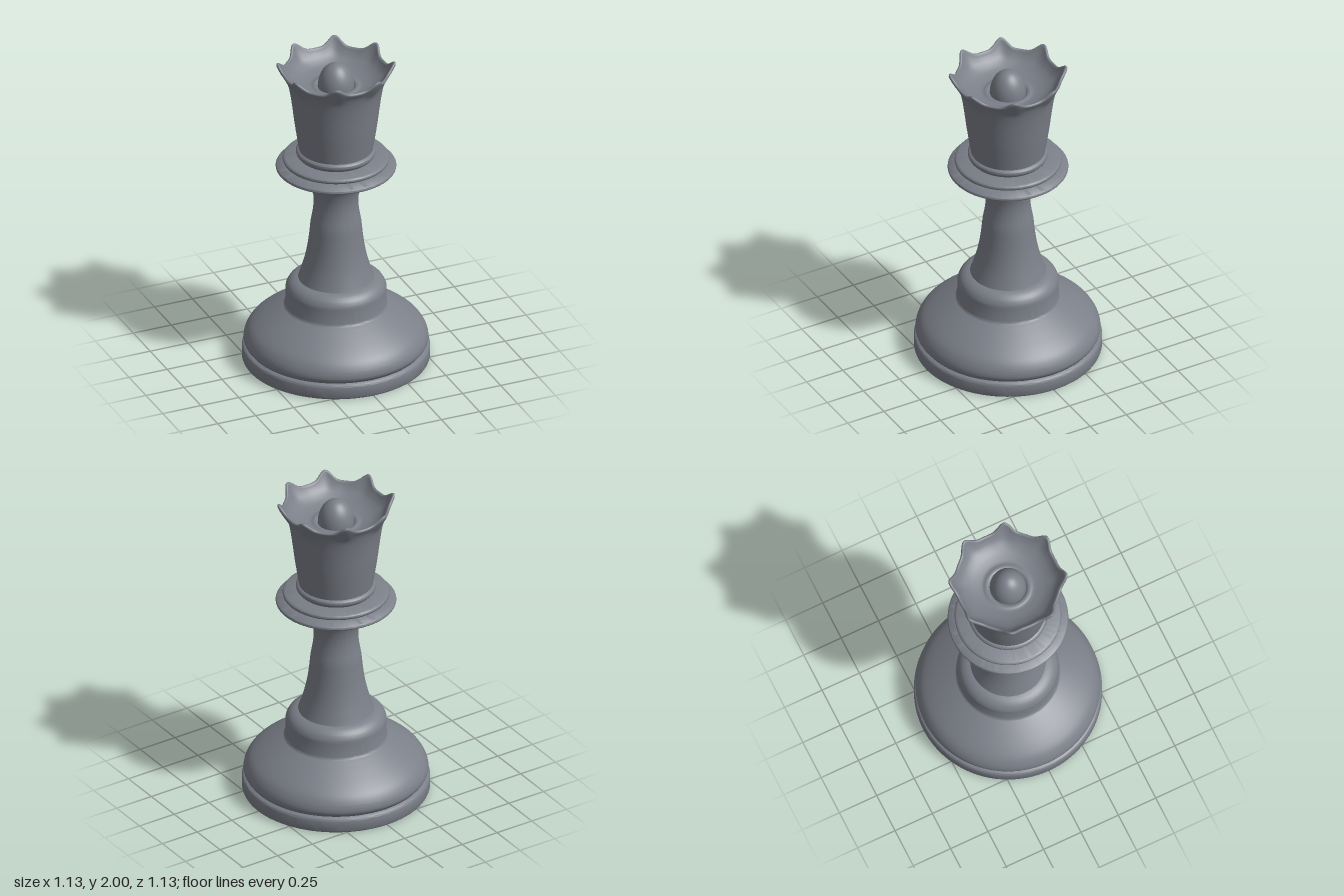
import * as THREE from 'three';
import { mergeVertices, toCreasedNormals } from 'three/addons/utils/BufferGeometryUtils.js';

const SIDES = 96;
const grey = new THREE.MeshStandardMaterial({ color: 0x7b7f88 });
grey.name = 'slate grey';

// Profile from runs of [radius, height]; each run is a smooth spline (two points make a straight line).
function profile(...runs) {
  const out = [];
  for (const run of runs) {
    const pts = run.map(([r, y]) => new THREE.Vector2(r, y));
    const dense = pts.length > 2 ? new THREE.SplineCurve(pts).getPoints(pts.length * 4) : pts;
    for (const p of dense) {
      p.x = Math.max(p.x, 0);
      if (!out.length || out[out.length - 1].distanceTo(p) > 1e-5) out.push(p);
    }
  }
  return out;
}

function turned(name, ...runs) {
  const geometry = toCreasedNormals(new THREE.LatheGeometry(profile(...runs), SIDES), 0.75);
  const mesh = new THREE.Mesh(geometry, grey);
  mesh.name = name;
  return mesh;
}

// Crown: a turned cup whose rim is pulled up and out into eight points.
function crown() {
  const pts = profile(
    [[0.222, 1.41], [0.228, 1.45], [0.25, 1.6], [0.265, 1.72], [0.28, 1.82], [0.298, 1.89], [0.317, 1.925],
      [0.322, 1.937], [0.316, 1.946], [0.305, 1.942], [0.291, 1.92], [0.265, 1.892], [0.22, 1.865],
      [0.16, 1.848], [0.135, 1.852], [0.12, 1.85], [0.108, 1.84]],
    [[0.108, 1.84], [0, 1.84]]
  );
  let geometry = new THREE.LatheGeometry(pts, 192);
  const pos = geometry.attributes.position;
  const step = Math.PI / 4;
  for (let i = 0; i < pos.count; i++) {
    const x = pos.getX(i), y = pos.getY(i), z = pos.getZ(i);
    const r = Math.hypot(x, z);
    const angle = Math.atan2(z, x) + Math.PI * 2;
    const d = (angle % step) - step / 2;
    const bump = Math.exp(-((d / 0.15) ** 2));
    const w = THREE.MathUtils.smoothstep(y, 1.86, 1.945) * THREE.MathUtils.smoothstep(r, 0.2, 0.3);
    const k = r > 0 ? (r + 0.038 * bump * w) / r : 1;
    pos.setXYZ(i, x * k, y + 0.054 * bump * w * w, z * k);
  }
  geometry.deleteAttribute('uv');
  geometry.deleteAttribute('normal');
  geometry = mergeVertices(geometry, 1e-5);
  geometry.computeVertexNormals();
  const mesh = new THREE.Mesh(geometry, grey);
  mesh.name = 'crown';
  return mesh;
}

export function createModel() {
  const model = new THREE.Group();
  model.name = 'chessQueen';
  model.add(
    // Foot disc with softened edges
    turned('plinth',
      [[0, 0], [0.553, 0]],
      [[0.553, 0], [0.562, 0.004], [0.566, 0.014]],
      [[0.566, 0.014], [0.566, 0.075]],
      [[0.566, 0.075], [0.562, 0.088], [0.549, 0.098]],
      [[0.549, 0.098], [0.4, 0.1]]),
    // Wide domed base
    turned('base',
      [[0.535, 0.095], [0.543, 0.105], [0.553, 0.12], [0.556, 0.14], [0.547, 0.175], [0.518, 0.22],
        [0.465, 0.265], [0.395, 0.312], [0.335, 0.348], [0.312, 0.362], [0.305, 0.38]],
      [[0.305, 0.38], [0.305, 0.462]],
      [[0.305, 0.462], [0.301, 0.487], [0.285, 0.515], [0.26, 0.535], [0.232, 0.546]],
      [[0.232, 0.546], [0.15, 0.548]]),
    // Waisted column flaring into the collar
    turned('stem',
      [[0.23, 0.54], [0.216, 0.58], [0.192, 0.66], [0.173, 0.75], [0.161, 0.84], [0.153, 0.92], [0.141, 0.99],
        [0.135, 1.05], [0.138, 1.11], [0.153, 1.17], [0.182, 1.22], [0.222, 1.257], [0.27, 1.28], [0.32, 1.29]]),
    // Two collars and the ring under the crown
    turned('lowerCollar',
      [[0.28, 1.287], [0.352, 1.289]],
      [[0.352, 1.289], [0.36, 1.294], [0.363, 1.302], [0.36, 1.31], [0.352, 1.316]],
      [[0.352, 1.316], [0.27, 1.32]],
      [[0.27, 1.32], [0.265, 1.345]]),
    turned('upperCollar',
      [[0.265, 1.33], [0.305, 1.335]],
      [[0.305, 1.335], [0.317, 1.342], [0.321, 1.352], [0.317, 1.363], [0.305, 1.369]],
      [[0.305, 1.369], [0.2, 1.376]]),
    turned('neckRing',
      [[0.222, 1.368], [0.228, 1.38], [0.237, 1.388], [0.241, 1.402], [0.237, 1.416], [0.22, 1.426]]),
    crown()
  );
  // Egg-shaped knob inside the crown
  const knob = new THREE.Mesh(new THREE.SphereGeometry(0.11, 48, 24, 0, Math.PI * 2, 0, Math.PI / 2), grey);
  knob.name = 'finial';
  knob.scale.y = 1.42;
  knob.position.y = 1.84;
  model.add(knob);
  return model;
}
